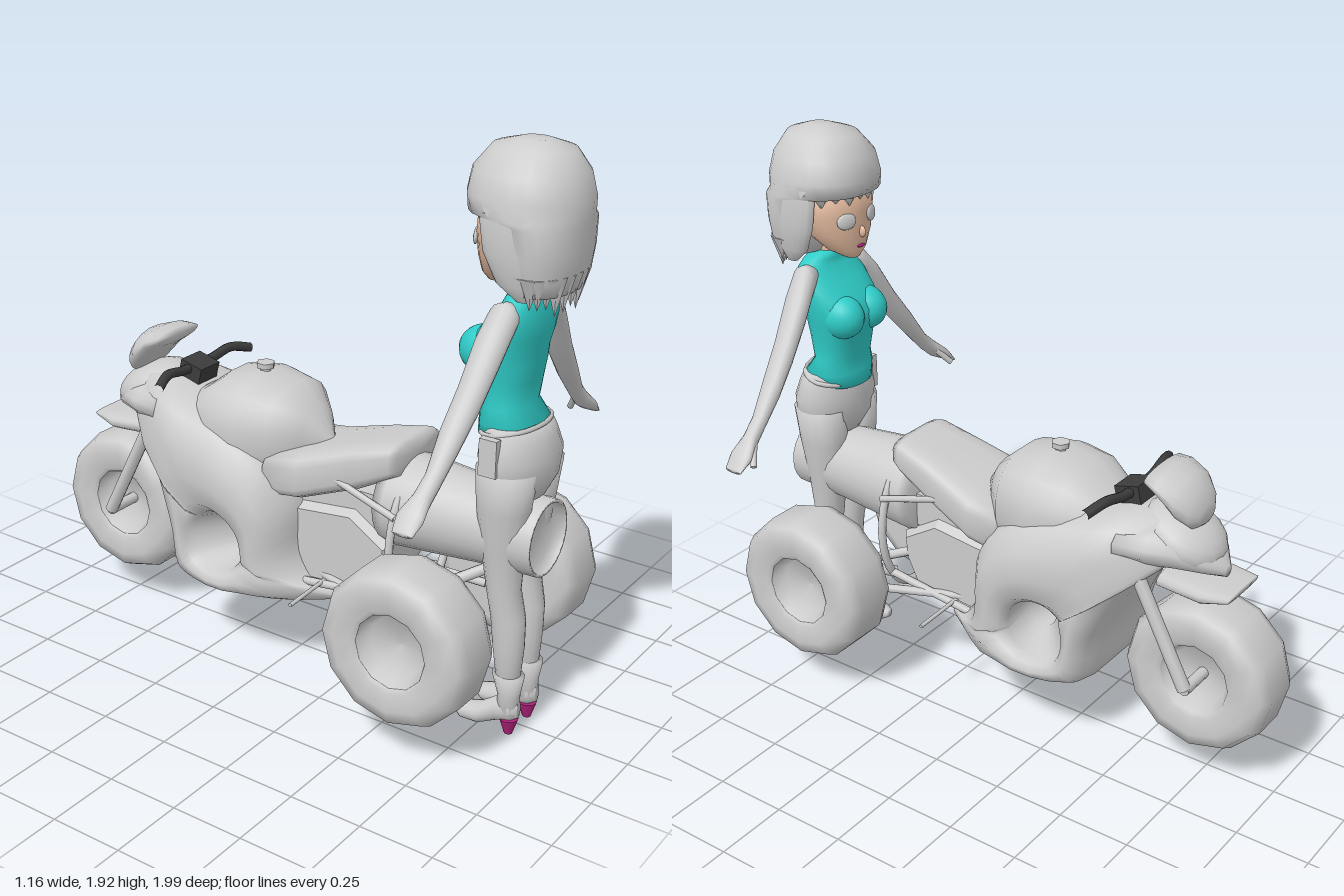
import * as THREE from 'three';

const mat = (name, color) => Object.assign(new THREE.MeshStandardMaterial({ color }), { name });

export function createModel() {
  const grey = mat('grey', 0xcccccc), teal = mat('teal', 0x2fccc8), skin = mat('skin', 0xe6bda1);
  const dark = mat('dark', 0x3c3c3c), magenta = mat('magenta', 0xb0237c);
  const root = new THREE.Group();
  const bike = new THREE.Group(), woman = new THREE.Group();
  bike.name = 'trike';
  woman.name = 'woman';
  root.add(bike, woman);

  const add = (parent, name, geo, material, x = 0, y = 0, z = 0) => {
    const m = new THREE.Mesh(geo, material);
    m.name = name;
    m.position.set(x, y, z);
    parent.add(m);
    return m;
  };

  const grid = (pos, rows, cols, flip) => {
    const idx = [];
    for (let i = 0; i < rows - 1; i++) for (let j = 0; j < cols; j++) {
      const a = i * cols + j, b = i * cols + (j + 1) % cols, c = a + cols, d = b + cols;
      if (flip) idx.push(a, c, b, b, c, d);
      else idx.push(a, b, c, b, d, c);
    }
    const g = new THREE.BufferGeometry();
    g.setAttribute('position', new THREE.Float32BufferAttribute(pos, 3));
    g.setIndex(idx);
    g.computeVertexNormals();
    return g;
  };

  // Closed skin over oval sections along one axis: [position, centre1, centre2, radius1, radius2]
  const loft = (axis, rings, n = 16, p = 1) => {
    const r = rings[0][0] > rings[rings.length - 1][0] ? [...rings].reverse() : rings;
    const end = (q) => [q[0], q[1], q[2], 0, 0];
    const all = [end(r[0]), ...r, end(r[r.length - 1])], pos = [];
    const pw = (v) => Math.sign(v) * Math.abs(v) ** p;
    for (const [t, a, b, ra, rb] of all) for (let j = 0; j < n; j++) {
      const th = (j + 0.5) / n * Math.PI * 2, u = a + ra * pw(Math.cos(th)), v = rb * pw(Math.sin(th));
      if (axis === 'y') pos.push(u, t, b - v);
      else if (axis === 'z') pos.push(u, b + v, t);
      else pos.push(t, u, b + v);
    }
    return grid(pos, all.length, n, false);
  };

  const rod = (parent, name, a, b, r) => {
    const A = new THREE.Vector3(...a), B = new THREE.Vector3(...b), d = B.clone().sub(A);
    const m = add(parent, name, new THREE.CylinderGeometry(r, r, d.length(), 8), grey);
    m.position.copy(A).add(B).multiplyScalar(0.5);
    m.quaternion.setFromUnitVectors(new THREE.Vector3(0, 1, 0), d.normalize());
  };
  const lathe = (pts, n) => new THREE.LatheGeometry(pts.map((q) => new THREE.Vector2(...q)), n);
  const ball = (w = 16, h = 12) => new THREE.SphereGeometry(1, w, h);

  // Wheels: tyre and a dished hub on the outside
  const tread = [[0.2, -0.115], [0.245, -0.1], [0.265, -0.06], [0.265, 0.06], [0.245, 0.1], [0.2, 0.115]];
  const lip = [[0.14, 0.105], [0.125, 0.095]], hub = [[0.125, 0.095], [0.1, 0.045], [0, 0.03]];
  const under = (pts) => pts.map(([r, y]) => [r, -y]).reverse();
  const wheel = (parent, name, tyre, x, y, z, turn) => {
    const g = new THREE.Group();
    g.name = name;
    g.position.set(x, y, z);
    g.rotation.z = turn;
    parent.add(g);
    add(g, 'tyre', lathe(tyre, 12), grey);
    add(g, 'hub', lathe(hub, 12), grey);
    return g;
  };
  for (const s of [1, -1]) wheel(bike, 'rearWheel', [[0, -0.11], ...tread, ...lip], s * 0.345, 0.405, 0.643, -s * Math.PI / 2);
  const frontWheel = wheel(bike, 'frontWheel', [...under(lip), ...tread, ...lip], 0, 0.388, -0.733, Math.PI / 2);
  add(frontWheel, 'hub', lathe(under(hub), 12), grey);

  // Side fairings: rings run from a tunnel, over the bulge, to the outer outline
  const outline = new THREE.CatmullRomCurve3([[0.25, 0.315], [0.2, 0.285], [-0.04, 0.27], [-0.29, 0.265], [-0.38, 0.29],
    [-0.405, 0.44], [-0.46, 0.57], [-0.55, 0.72], [-0.64, 0.79], [-0.67, 0.84], [-0.62, 0.91], [-0.5, 0.93], [-0.37, 0.9],
    [-0.2, 0.86], [-0.07, 0.81], [0.02, 0.73], [0.08, 0.615], [0.085, 0.455], [0.15, 0.36],
  ].map(([z, y]) => new THREE.Vector3(0, y, z)), true, 'centripetal');
  const widths = [[-0.68, 0.13], [-0.55, 0.2], [-0.4, 0.25], [-0.15, 0.28], [0, 0.27], [0.1, 0.21], [0.26, 0.13]];
  const width = (z) => {
    const i = Math.min(Math.max(widths.findIndex((w) => w[0] > z), 1), widths.length - 1);
    const [a, b] = [widths[i - 1], widths[i]];
    return THREE.MathUtils.lerp(a[1], b[1], THREE.MathUtils.clamp((z - a[0]) / (b[0] - a[0]), 0, 1));
  };
  const cols = 57, shell = [];
  const spread = [[0, 0.78], [0.1, 0.93], [0.35, 1], [0.65, 0.97], [0.88, 0.8], [1, 0.5], [1, 0]];
  for (let i = 0; i < spread.length + 2; i++) for (let j = 0; j < cols; j++) {
    const o = outline.getPoint(j / cols), th = Math.atan2(o.y - 0.44, o.z + 0.2);
    const c = Math.cos(th), sn = Math.sin(th);
    if (i < 2) shell.push(i * 0.09, 0.455 + 0.08 * sn, -0.145 + (0.05 + i * 0.01) * c);
    else {
      const [t, k] = spread[i - 2], z = THREE.MathUtils.lerp(-0.2 + 0.11 * c, o.z, t);
      shell.push(width(z) * k, THREE.MathUtils.lerp(0.44 + 0.105 * sn, o.y, t), z);
    }
  }
  const fairing = grid(shell, spread.length + 2, cols, true);
  for (const s of [1, -1]) add(bike, 'fairing', fairing, grey).scale.x = s;

  // Tank, seat and nose
  add(bike, 'tank', loft('z', [[0.13, 0, 0.79, 0.015, 0.03], [0.06, 0, 0.82, 0.1, 0.1], [-0.02, 0, 0.82, 0.185, 0.17],
    [-0.15, 0, 0.82, 0.215, 0.19], [-0.26, 0, 0.82, 0.2, 0.175], [-0.36, 0, 0.82, 0.15, 0.1], [-0.42, 0, 0.82, 0.1, 0.07]], 20, 0.85), grey);
  add(bike, 'tankCap', new THREE.CylinderGeometry(0.032, 0.032, 0.018, 6), grey, 0, 1.025, -0.15);
  add(bike, 'tankCapStem', new THREE.CylinderGeometry(0.02, 0.02, 0.03, 6), grey, 0, 1.008, -0.15);
  add(bike, 'seat', loft('z', [[0.455, 0, 0.86, 0.13, 0.05], [0.43, 0, 0.855, 0.14, 0.06], [0.3, 0, 0.805, 0.155, 0.08],
    [0.1, 0, 0.735, 0.19, 0.085], [-0.02, 0, 0.72, 0.2, 0.08]], 16, 0.5), grey);
  add(bike, 'noseFairing', loft('z', [[-0.785, 0, 0.765, 0.02, 0.02], [-0.74, 0, 0.795, 0.08, 0.045], [-0.66, 0, 0.825, 0.14, 0.07],
    [-0.58, 0, 0.835, 0.185, 0.08], [-0.48, 0, 0.84, 0.21, 0.08]]), grey);
  const nose = add(bike, 'headlightCowl', ball(), grey, 0, 0.85, -0.625);
  nose.scale.set(0.135, 0.085, 0.15);
  nose.rotation.x = -0.45;
  add(bike, 'windshield', loft('z', [[-0.535, 0, 1.05, 0.115, 0.025], [-0.58, 0, 1.035, 0.125, 0.045], [-0.64, 0, 0.99, 0.12, 0.07],
    [-0.68, 0, 0.955, 0.09, 0.065], [-0.7, 0, 0.94, 0.05, 0.03]]), grey);
  add(bike, 'fender', loft('z', [[-0.84, 0, 0.715, 0.1, 0.01], [-0.75, 0, 0.705, 0.12, 0.03], [-0.6, 0, 0.72, 0.125, 0.03]], 16, 0.7), grey);

  // Handlebar
  const bar = [[-0.25, 0.955, -0.41], [-0.17, 0.975, -0.435], [-0.08, 0.96, -0.445], [0.08, 0.96, -0.445], [0.17, 0.975, -0.435], [0.25, 0.955, -0.41]];
  add(bike, 'handlebar', new THREE.TubeGeometry(new THREE.CatmullRomCurve3(bar.map((q) => new THREE.Vector3(...q))), 24, 0.017, 8), dark);
  const clamp = add(bike, 'handlebarClamp', new THREE.BoxGeometry(0.1, 0.065, 0.09), dark, 0, 0.945, -0.44);
  clamp.rotation.x = 0.25;

  // Engine block
  const block = new THREE.Shape([[-0.41, 0.55], [-0.28, 0.63], [-0.02, 0.6], [-0.02, 0.36], [-0.36, 0.39], [-0.4, 0.47]]
    .map(([a, b]) => new THREE.Vector2(a, b)));
  const engine = add(bike, 'engine', new THREE.ExtrudeGeometry(block, { depth: 0.2, bevelSize: 0.02, bevelThickness: 0.03, bevelSegments: 1 }), grey, -0.1);
  engine.rotation.y = Math.PI / 2;
  add(bike, 'engineTop', new THREE.BoxGeometry(0.2, 0.12, 0.34), grey, 0, 0.66, 0.24);

  // Large exhaust and its hoop
  add(bike, 'exhaust', lathe([[0, 0.38], [0.15, 0.38], [0.16, 0.42], [0.15, 0.55], [0.135, 0.72], [0.125, 0.93], [0.115, 0.93], [0.11, 0.89], [0, 0.89]], 24),
    grey, 0, 0.695, 0).rotation.x = Math.PI / 2;
  const hoop = add(bike, 'rearHoop', new THREE.TorusGeometry(0.185, 0.014, 8, 32), grey, 0, 0.57, 0.47);
  hoop.scale.y = 1.4;

  // Fork, struts, pegs
  rod(bike, 'frontAxle', [-0.16, 0.385, -0.735], [0.16, 0.385, -0.735], 0.02);
  for (const s of [1, -1]) {
    rod(bike, 'fork', [s * 0.155, 0.74, -0.55], [s * 0.155, 0.385, -0.735], 0.023);
    rod(bike, 'upperArm', [s * 0.1, 0.5, 0.38], [s * 0.24, 0.42, 0.63], 0.017);
    rod(bike, 'lowerArm', [s * 0.1, 0.4, 0.1], [s * 0.22, 0.34, 0.6], 0.015);
    rod(bike, 'crossArm', [s * 0.08, 0.36, 0.5], [s * 0.24, 0.42, 0.64], 0.02);
    rod(bike, 'seatStay', [s * 0.17, 0.7, 0.48], [s * 0.15, 0.77, 0.22], 0.012);
    rod(bike, 'lowerRail', [s * 0.14, 0.4, 0.47], [s * 0.15, 0.36, 0.1], 0.014);
    rod(bike, 'footPeg', [s * 0.1, 0.38, 0.19], [s * 0.33, 0.37, 0.19], 0.007);
  }

  // Torso with a low front hem, hips, neck
  add(woman, 'top', loft('y', [[1.02, 0, 0.775, 0.1, 0.085], [1.07, 0, 0.792, 0.128, 0.092], [1.12, 0, 0.775, 0.112, 0.074], [1.2, 0, 0.772, 0.118, 0.09],
    [1.26, 0, 0.765, 0.13, 0.106], [1.3, 0, 0.765, 0.135, 0.108], [1.35, 0, 0.785, 0.14, 0.1], [1.4, 0, 0.81, 0.142, 0.08],
    [1.45, 0, 0.825, 0.13, 0.058], [1.475, 0, 0.825, 0.1, 0.05], [1.5, 0, 0.815, 0.05, 0.045]], 24, 0.85), teal);
  add(woman, 'neck', loft('y', [[1.44, 0, 0.82, 0.043, 0.04], [1.6, 0, 0.81, 0.043, 0.045]]), skin);
  add(woman, 'hips', loft('y', [[0.83, 0, 0.82, 0.11, 0.08], [0.89, 0, 0.82, 0.16, 0.108], [0.97, 0, 0.82, 0.166, 0.118],
    [1.03, 0, 0.815, 0.15, 0.1], [1.07, 0, 0.81, 0.134, 0.084]], 20), grey);
  const belt = add(woman, 'belt', new THREE.TorusGeometry(0.137, 0.008, 6, 24), grey, 0, 1.05, 0.8);
  belt.rotation.x = Math.PI / 2 - 0.22;
  belt.scale.y = 0.72;
  add(woman, 'beltPouch', new THREE.BoxGeometry(0.025, 0.12, 0.06), grey, -0.16, 0.99, 0.8);

  // Limbs
  for (const s of [1, -1]) {
    add(woman, 'bust', ball(20, 16), teal, s * 0.06, 1.285, 0.72).scale.set(0.07, 0.078, 0.087);
    const limb = new THREE.Group();
    limb.name = s > 0 ? 'leftLimbs' : 'rightLimbs';
    limb.scale.x = s;
    woman.add(limb);
    add(limb, 'leg', loft('y', [[0.18, 0.06, 0.85, 0.036, 0.037], [0.32, 0.06, 0.845, 0.048, 0.052], [0.42, 0.062, 0.84, 0.052, 0.057],
      [0.52, 0.065, 0.82, 0.054, 0.056], [0.65, 0.07, 0.815, 0.064, 0.07], [0.8, 0.08, 0.815, 0.077, 0.088], [0.93, 0.082, 0.82, 0.083, 0.1]]), grey);
    add(limb, 'bootShaft', loft('y', [[0.08, 0.061, 0.855, 0.032, 0.038], [0.15, 0.061, 0.855, 0.035, 0.038], [0.22, 0.061, 0.85, 0.043, 0.055]]), grey);
    add(limb, 'bootFoot', loft('z', [[0.67, 0.068, 0.045, 0.016, 0.016], [0.7, 0.067, 0.04, 0.038, 0.028], [0.76, 0.065, 0.05, 0.042, 0.038],
      [0.82, 0.062, 0.085, 0.033, 0.045], [0.87, 0.061, 0.1, 0.032, 0.045], [0.892, 0.061, 0.1, 0.016, 0.03]]), grey);
    add(limb, 'bootHeel', new THREE.CylinderGeometry(0.032, 0.014, 0.055, 10), magenta, 0.061, 0.0325, 0.86);
    add(limb, 'arm', loft('x', [[0.1, 1.43, 0.815, 0.035, 0.04], [0.14, 1.41, 0.81, 0.06, 0.048], [0.2, 1.33, 0.8, 0.066, 0.05], [0.28, 1.21, 0.79, 0.058, 0.044],
      [0.36, 1.11, 0.78, 0.048, 0.04], [0.44, 1.01, 0.775, 0.036, 0.028], [0.49, 0.965, 0.77, 0.034, 0.03], [0.54, 0.93, 0.765, 0.025, 0.045], [0.58, 0.895, 0.765, 0.008, 0.035]]), grey);
    rod(limb, 'thumb', [0.49, 0.96, 0.75], [0.535, 0.905, 0.715], 0.011);
  }

  // Head, face details
  add(woman, 'face', loft('y', [[1.49, 0, 0.71, 0.025, 0.025], [1.52, 0, 0.735, 0.07, 0.065], [1.58, 0, 0.765, 0.118, 0.102],
    [1.65, 0, 0.78, 0.142, 0.12], [1.74, 0, 0.79, 0.145, 0.125]], 24), skin);
  add(woman, 'nose', ball(10, 8), skin, 0, 1.585, 0.663).scale.set(0.01, 0.02, 0.018);
  add(woman, 'lips', ball(12, 8), magenta, 0, 1.535, 0.668).scale.set(0.018, 0.006, 0.007);
  for (const s of [1, -1]) {
    const eye = add(woman, 'eye', ball(16, 8), grey, s * 0.062, 1.633, 0.673);
    eye.scale.set(0.036, 0.028, 0.01);
    eye.rotation.set(0.12, -s * 0.38, 0);
  }

  // Hair in one piece, set back below the fringe, with a ragged hem
  add(woman, 'hair', loft('y', [[1.928, 0, 0.82, 0.04, 0.05], [1.905, 0, 0.815, 0.105, 0.125], [1.84, 0, 0.81, 0.158, 0.172],
    [1.77, 0, 0.812, 0.18, 0.186], [1.72, 0, 0.815, 0.182, 0.182], [1.705, 0, 0.872, 0.182, 0.125], [1.62, 0, 0.88, 0.176, 0.115],
    [1.55, 0, 0.885, 0.163, 0.1], [1.5, 0, 0.89, 0.145, 0.08]], 24, 0.95), grey);
  const lock = (name, x, y, z, r, h) => {
    const m = add(woman, name, new THREE.ConeGeometry(r, h, 6), grey, x, y - h / 2, z);
    m.rotation.x = Math.PI;
  };
  for (let i = 0; i < 13; i++) {
    const a = Math.PI * (i / 12 * 1.1 - 0.05);
    lock('hairTip', 0.138 * Math.cos(a), 1.56, 0.885 + 0.07 * Math.sin(a), 0.036, 0.075 + 0.035 * Math.sin(a) + (i % 3) * 0.01);
  }
  for (let i = 0; i < 9; i++) {
    const a = Math.PI * (0.1 + i / 8 * 0.8);
    lock('fringe', 0.15 * Math.cos(a), 1.735, 0.815 - 0.15 * Math.sin(a), 0.035, 0.04 + (i % 2) * 0.015);
  }
  for (const s of [1, -1]) add(woman, 'sideHair', loft('y', [[1.48, s * 0.125, 0.865, 0.012, 0.02], [1.53, s * 0.14, 0.845, 0.024, 0.06],
    [1.62, s * 0.152, 0.825, 0.028, 0.08], [1.75, s * 0.152, 0.815, 0.028, 0.09]]), grey);
  return root;
}
